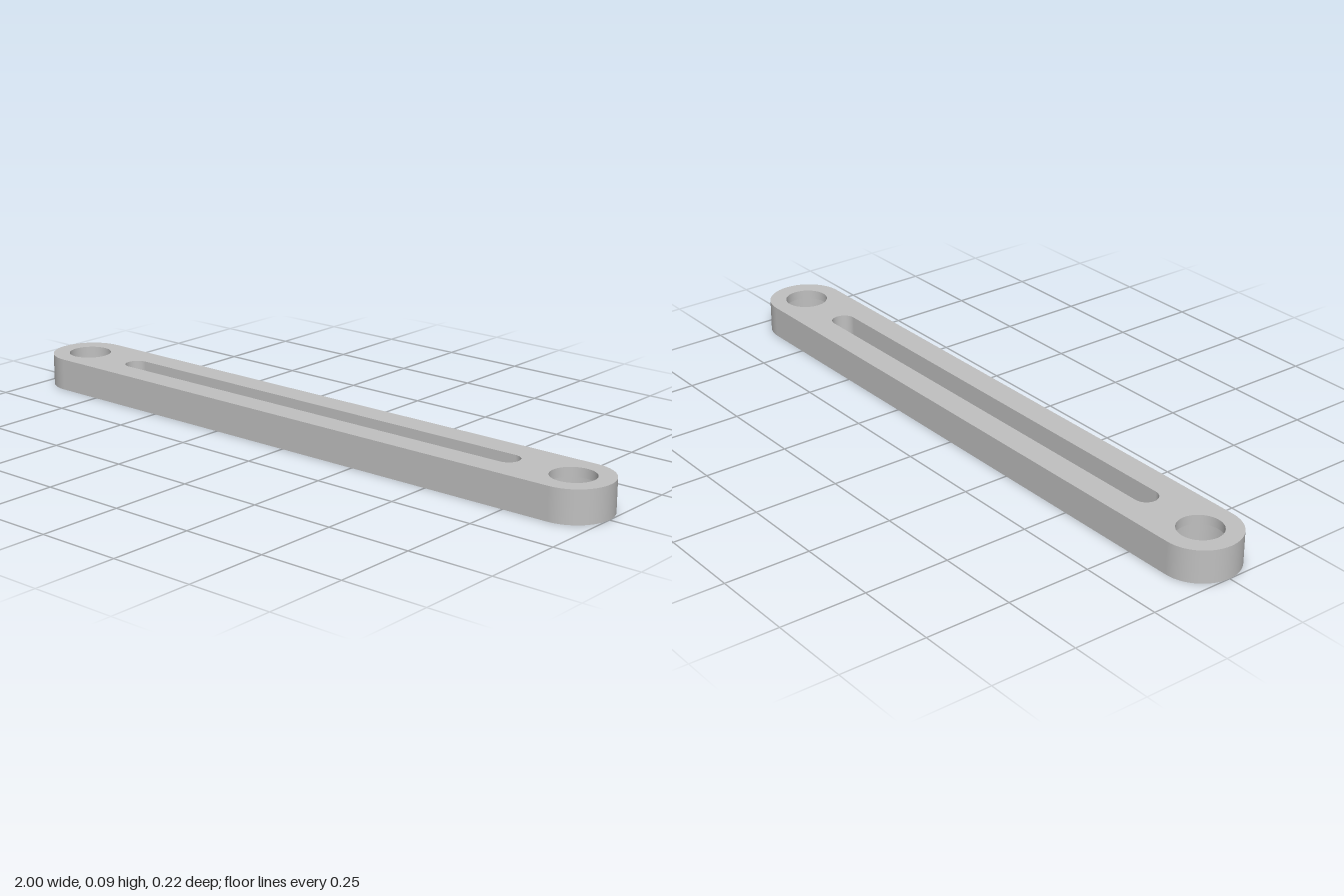
import * as THREE from 'three';

const HEIGHT = 0.095;
const END_X = 0.888; // centre of each rounded end and its bore
const ARC = 32; // segments per half circle

// Directions and points around a round-ended outline
function stadium(centerX, radius) {
  const loop = [];
  for (const side of [1, -1]) {
    for (let i = 0; i <= ARC; i++) {
      const a = -Math.PI / 2 + (i / ARC) * Math.PI + (side < 0 ? Math.PI : 0);
      const nx = Math.cos(a), ny = Math.sin(a);
      loop.push({ x: side * centerX + nx * radius, y: ny * radius, nx, ny });
    }
  }
  return loop;
}

// Smooth vertical wall along an outline, facing outwards or inwards
function wall(loop, inward) {
  const pos = [], nor = [], idx = [];
  const s = inward ? -1 : 1;
  loop.forEach((p, i) => {
    pos.push(p.x, 0, -p.y, p.x, HEIGHT, -p.y);
    nor.push(s * p.nx, 0, -s * p.ny, s * p.nx, 0, -s * p.ny);
    const a = 2 * i, b = 2 * ((i + 1) % loop.length);
    if (inward) idx.push(a, a + 1, b, b, a + 1, b + 1);
    else idx.push(a, b, a + 1, b, b + 1, a + 1);
  });
  const g = new THREE.BufferGeometry();
  g.setAttribute('position', new THREE.Float32BufferAttribute(pos, 3));
  g.setAttribute('normal', new THREE.Float32BufferAttribute(nor, 3));
  g.setIndex(idx);
  return g;
}

export function createModel() {
  const model = new THREE.Group();
  model.name = 'slottedLinkBar';
  const metal = new THREE.MeshStandardMaterial({ color: 0xc0c0c0 });
  metal.name = 'grey metal';

  const add = (name, geometry, parent = model) => {
    const mesh = new THREE.Mesh(geometry, metal);
    mesh.name = name;
    parent.add(mesh);
    return mesh;
  };

  const outline = stadium(END_X, 0.112);
  const slot = stadium(0.684, 0.035);
  const toPoints = (loop) => loop.map((p) => new THREE.Vector2(p.x, p.y));

  // Flat face with the slot and a round opening at each end
  const face = (holeRadius) => {
    const shape = new THREE.Shape(toPoints(outline));
    shape.holes.push(new THREE.Path(toPoints(slot)));
    for (const x of [-END_X, END_X]) {
      shape.holes.push(new THREE.Path().absarc(x, 0, holeRadius, 0, Math.PI * 2, true));
    }
    return new THREE.ShapeGeometry(shape, ARC);
  };

  // Bore profile from top to bottom: through hole, counterbore, shallow recess
  const bore = [
    [0.063, HEIGHT], [0.063, 0.068], [0.08, 0.068],
    [0.08, 0.012], [0.09, 0.012], [0.09, 0],
  ].map(([r, y]) => new THREE.Vector2(r, y));

  add('topFace', face(bore[0].x).rotateX(-Math.PI / 2).translate(0, HEIGHT, 0));
  add('bottomFace', face(bore[5].x).rotateX(Math.PI / 2));
  add('outerWall', wall(outline, false));
  add('slotWall', wall(slot, true));

  // Stepped bores, one lathe per step to keep the edges sharp
  for (const [name, x] of [['leftBore', END_X], ['rightBore', -END_X]]) {
    const group = new THREE.Group();
    group.name = name;
    group.position.x = x;
    for (let i = 0; i < bore.length - 1; i++) {
      add(`${name}Step${i + 1}`, new THREE.LatheGeometry([bore[i], bore[i + 1]], ARC * 2), group);
    }
    model.add(group);
  }
  return model;
}
